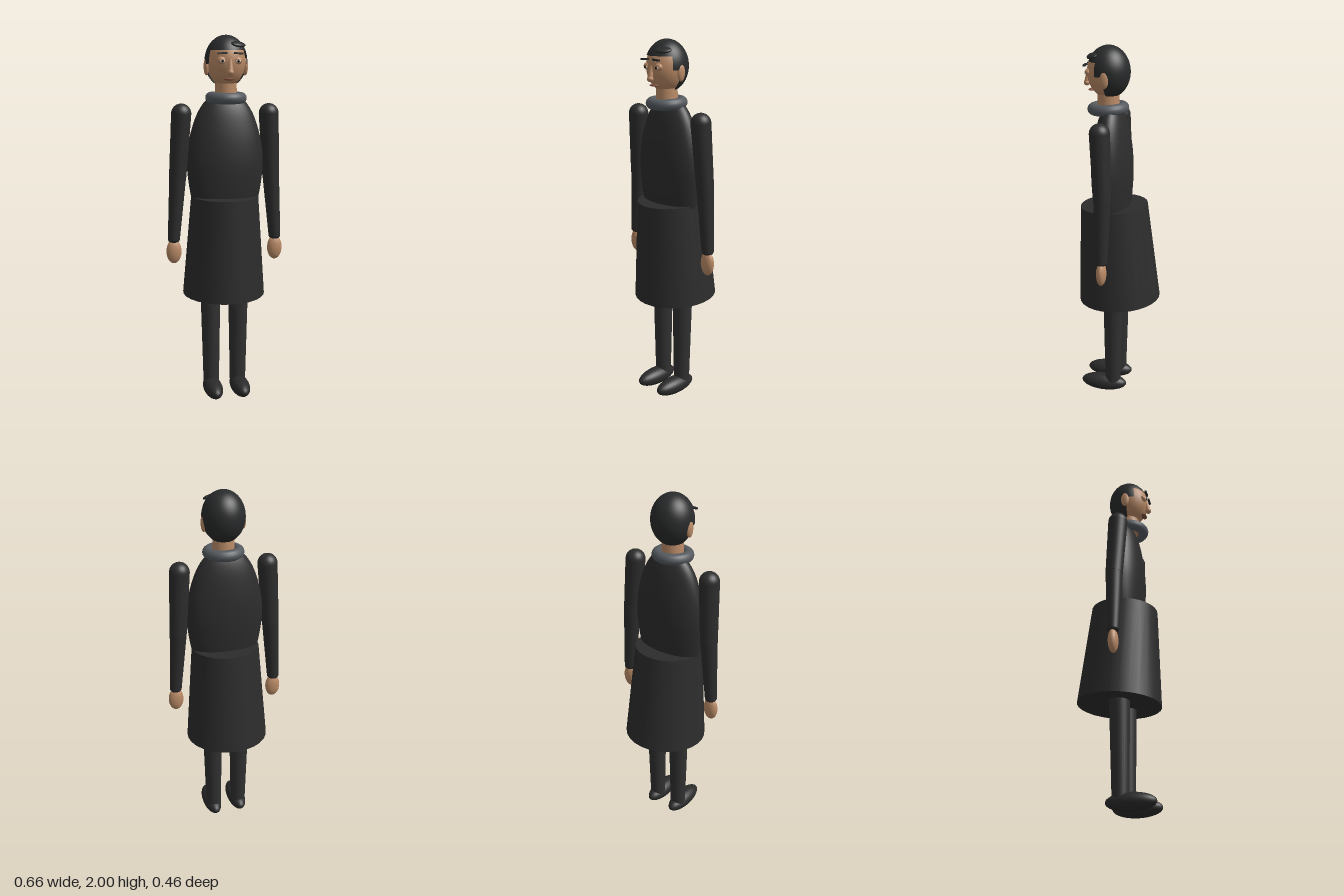
import * as THREE from 'three';

const mat = (name, color) => Object.assign(new THREE.MeshStandardMaterial({ color }), { name });

export function createModel() {
  const coat = mat('coat black', 0x2c2c2c);
  const trouser = mat('trouser black', 0x303030);
  const shoe = mat('shoe black', 0x2a2a2a);
  const hair = mat('hair black', 0x292a2b);
  hair.side = THREE.DoubleSide;
  const skin = mat('skin', 0xb98a66);
  const scarf = mat('collar grey', 0x555a5f);
  const white = mat('eye white', 0xe4ded4);
  const dark = mat('eye dark', 0x1c1410);
  const lip = mat('lip', 0x80503f);

  const model = new THREE.Group();
  model.name = 'standingFigure';

  const add = (name, geometry, material, x = 0, y = 0, z = 0) => {
    const mesh = new THREE.Mesh(geometry, material);
    mesh.name = name;
    mesh.position.set(x, y, z);
    model.add(mesh);
    return mesh;
  };
  const ball = (name, material, [x, y, z], [rx, ry, rz]) => {
    const mesh = add(name, new THREE.SphereGeometry(1, 32, 20), material, x, y, z);
    mesh.scale.set(rx, ry, rz);
    return mesh;
  };
  // Tapered limb running from point a (radius ra) to point b (radius rb)
  const limb = (name, material, a, b, ra, rb) => {
    const from = new THREE.Vector3(...a), to = new THREE.Vector3(...b);
    const dir = from.clone().sub(to);
    const mesh = add(name, new THREE.CylinderGeometry(ra, rb, dir.length(), 28), material);
    mesh.position.copy(from).add(to).multiplyScalar(0.5);
    mesh.quaternion.setFromUnitVectors(new THREE.Vector3(0, 1, 0), dir.normalize());
    return mesh;
  };

  // Coat: oval torso and a flared skirt that leans slightly forward
  const profile = new THREE.SplineCurve([
    [0.183, 1.11], [0.2, 1.2], [0.211, 1.31], [0.204, 1.41], [0.185, 1.5],
    [0.152, 1.59], [0.108, 1.655], [0.055, 1.69], [0, 1.695],
  ].map(([r, y]) => new THREE.Vector2(r, y)));
  const torso = add('torso', new THREE.LatheGeometry(profile.getPoints(32), 40), coat, 0, 0, 0.04);
  torso.scale.z = 0.51;
  limb('coatSkirt', coat, [0, 1.14, 0.032], [0, 0.585, 0], 0.185, 0.229);

  // Rolled collar and neck
  const collar = add('collar', new THREE.TorusGeometry(0.081, 0.03, 16, 40), scarf, 0, 1.672, 0.063);
  collar.rotation.x = Math.PI / 2 + 0.05;
  limb('neck', skin, [0, 1.78, 0.063], [0, 1.66, 0.06], 0.056, 0.06);

  // Arms, legs and their ends, mirrored
  for (const s of [1, -1]) {
    const side = s > 0 ? 'left' : 'right';
    const shoulder = [s * 0.241, 1.588, 0.05], elbow = [s * 0.261, 1.25, 0.034];
    const wrist = [s * 0.286, 0.905, 0.035];
    ball(side + 'Shoulder', coat, shoulder, [0.054, 0.054, 0.054]);
    limb(side + 'UpperArm', coat, shoulder, elbow, 0.054, 0.047);
    ball(side + 'Elbow', coat, elbow, [0.046, 0.046, 0.046]);
    limb(side + 'Forearm', coat, elbow, wrist, 0.046, 0.033);
    ball(side + 'Cuff', coat, wrist, [0.033, 0.02, 0.033]);
    ball(side + 'Hand', skin, [s * 0.286, 0.838, 0.036], [0.042, 0.067, 0.027]);
    limb(side + 'Leg', trouser, [s * 0.08, 0.65, 0.02], [s * 0.077, 0.06, 0.024], 0.057, 0.044);
    ball(side + 'Shoe', shoe, [s * 0.078, 0.049, 0.078], [0.052, 0.049, 0.133]);
  }

  // Head
  const C = [0, 1.863, 0.063];
  ball('head', skin, C, [0.102, 0.136, 0.111]);

  // Hair: crown cap, back of the head, and sideburn strips on one larger oval
  const hairPart = (name, phi0, phi, theta0, theta) => {
    const mesh = add(name, new THREE.SphereGeometry(1, 40, 20, phi0, phi, theta0, theta), hair, 0, 1.863, 0.06);
    mesh.scale.set(0.114, 0.137, 0.115);
  };
  hairPart('hairCrown', 0, Math.PI * 2, 0, 1.16);
  hairPart('hairBack', Math.PI - 0.06, Math.PI + 0.12, 1.1, Math.PI - 1.1);
  hairPart('hairSidesUpper', Math.PI - 0.48, Math.PI + 0.96, 1.1, 0.58);
  const lock = ball('hairLock', hair, [0.05, 1.948, 0.135], [0.046, 0.012, 0.028]);
  lock.rotation.set(0.5, 0.5, -0.25);

  // Face
  for (const s of [1, -1]) {
    const side = s > 0 ? 'left' : 'right';
    ball(side + 'Ear', skin, [s * 0.106, 1.835, 0.06], [0.014, 0.046, 0.024]);
    ball(side + 'Eyelid', skin, [s * 0.042, 1.864, 0.157], [0.024, 0.02, 0.018]);
    ball(side + 'Eye', white, [s * 0.042, 1.861, 0.168], [0.015, 0.009, 0.009]);
    ball(side + 'Iris', dark, [s * 0.042, 1.861, 0.175], [0.007, 0.007, 0.004]);
    const brow = add(side + 'Eyebrow', new THREE.BoxGeometry(0.05, 0.009, 0.012), hair, s * 0.043, 1.9, 0.176);
    brow.rotation.z = -s * 0.05;
  }
  const bridge = limb('noseBridge', skin, [0, 1.87, 0.168], [0, 1.805, 0.178], 0.009, 0.016);
  bridge.scale.z = 0.9;
  ball('noseTip', skin, [0, 1.803, 0.178], [0.018, 0.016, 0.017]);
  ball('mouth', lip, [0, 1.768, 0.152], [0.03, 0.006, 0.016]);

  return model;
}
